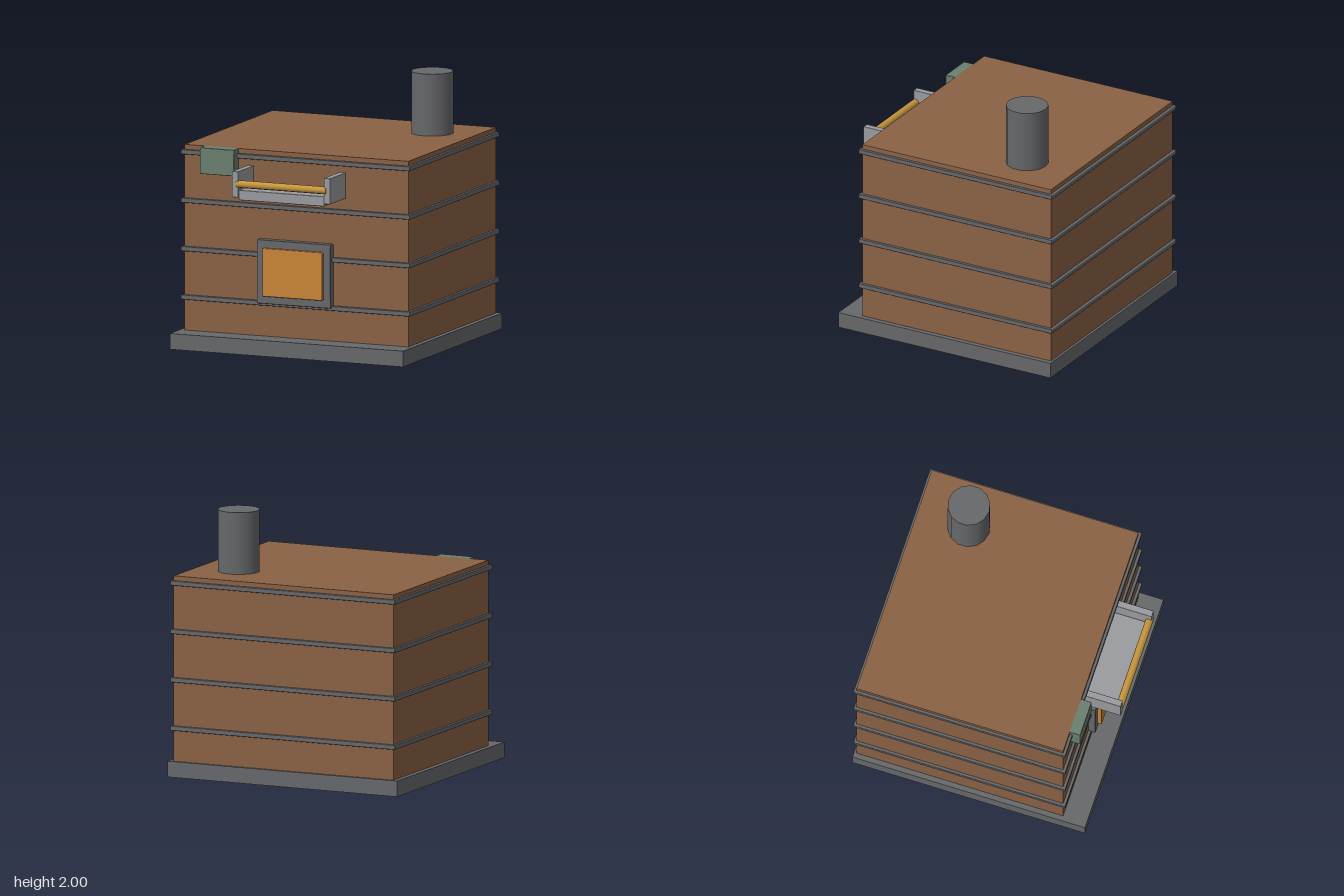
import * as THREE from 'three';
import { RoundedBoxGeometry } from 'three/addons/geometries/RoundedBoxGeometry.js';

function material(name, color) {
  const m = new THREE.MeshStandardMaterial({ color });
  m.name = name;
  return m;
}

export function createModel() {
  const group = new THREE.Group();
  const brick = material('brown brick', 0x8b6245);
  const iron = material('dark iron', 0x67686b);
  const steel = material('light steel', 0x9b9ca1);
  const green = material('grey green', 0x6b8070);
  const gold = material('brass', 0xc8983e);
  const orange = material('orange glow', 0xca8538);

  function add(name, geometry, mat, x, y, z) {
    const mesh = new THREE.Mesh(geometry, mat);
    mesh.name = name;
    mesh.position.set(x, y, z);
    group.add(mesh);
    return mesh;
  }

  // Box given by its limits on each axis, with an optional small bevel
  function box(name, mat, [x0, x1], [y0, y1], [z0, z1], bevel = 0) {
    const size = [x1 - x0, y1 - y0, z1 - z0];
    const geometry = bevel
      ? new RoundedBoxGeometry(...size, 1, bevel)
      : new THREE.BoxGeometry(...size);
    return add(name, geometry, mat, (x0 + x1) / 2, (y0 + y1) / 2, (z0 + z1) / 2);
  }

  // Base slab and main body
  box('base', iron, [-0.955, 0.955], [0, 0.12], [-0.97, 0.86]);
  box('body', brick, [-0.915, 0.915], [0.12, 1.53], [-0.95, 0.675]);

  // Iron bands wrapping the body
  for (let i = 0; i < 4; i++) {
    const y = 0.372 + i * 0.368;
    box('band' + (i + 1), iron, [-0.937, 0.937], [y - 0.018, y + 0.018], [-0.97, 0.698], 0.006);
  }

  // Chimney on the back left of the roof
  add('chimney', new THREE.CylinderGeometry(0.16, 0.16, 0.48, 14), iron, 0.57, 1.76, -0.547);

  // Furnace door
  box('doorFrame', iron, [-0.302, 0.302], [0.375, 0.86], [0.66, 0.73], 0.006);
  box('doorPanel', orange, [-0.245, 0.245], [0.435, 0.8], [0.7, 0.76], 0.008);

  // Control box at the upper front
  box('controlBox', green, [-0.755, -0.475], [1.33, 1.53], [0.66, 0.758], 0.006);

  // Tray with two side plates and a brass rail
  box('tray', steel, [-0.35, 0.35], [1.19, 1.267], [0.66, 0.955], 0.006);
  for (const side of [-1, 1]) {
    const x = side * 0.376;
    box(side > 0 ? 'leftTrayPlate' : 'rightTrayPlate', steel, [x - 0.026, x + 0.026], [1.21, 1.408], [0.66, 0.962], 0.005);
  }
  const rail = add('trayRail', new THREE.CylinderGeometry(0.029, 0.029, 0.735, 8), gold, 0, 1.311, 0.943);
  rail.rotation.z = Math.PI / 2;

  return group;
}
